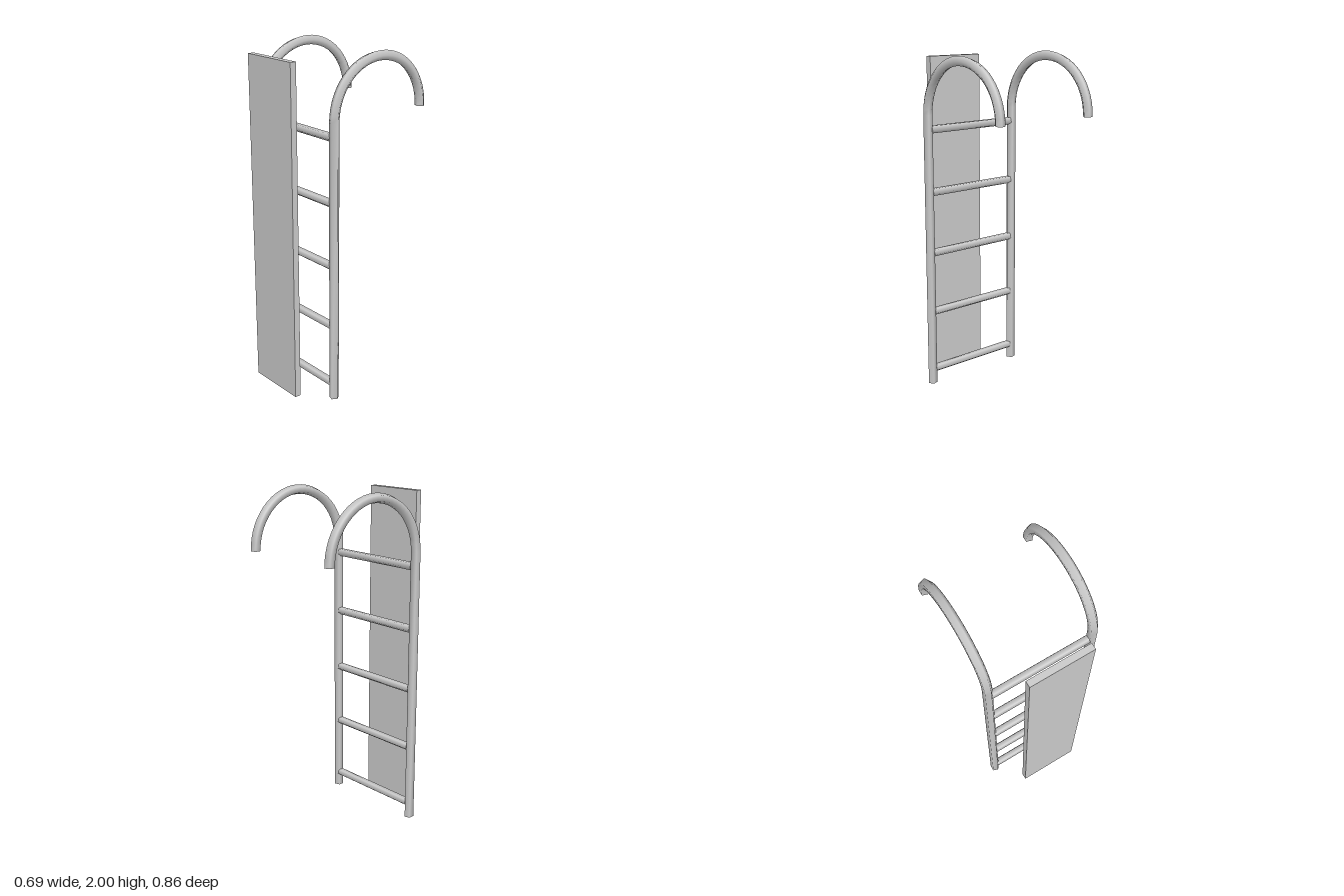
import * as THREE from 'three';

const material = new THREE.MeshStandardMaterial({ color: 0xcccccc });
const SIDES = 5, RAIL_R = 0.0287, RAIL_Z = 0.248, BEND_Y = 1.647;

// Five-sided pipe: a straight pole that bends backwards into a half circle
function railGeometry(bendRadius, steps = 28) {
  const positions = [], index = [];
  const addRing = (y, theta) => {
    for (let j = 0; j < SIDES; j++) {
      const a = (j / SIDES) * Math.PI * 2;
      const d = bendRadius + RAIL_R * Math.sin(a);
      positions.push(RAIL_R * Math.cos(a), y + d * Math.sin(theta), RAIL_Z - bendRadius + d * Math.cos(theta));
    }
  };
  addRing(0, 0);
  for (let i = 0; i <= steps; i++) addRing(BEND_Y, (i / steps) * Math.PI);
  const last = steps + 1;
  for (let i = 0; i < last; i++) {
    for (let j = 0; j < SIDES; j++) {
      const a = i * SIDES + j, b = i * SIDES + (j + 1) % SIDES;
      index.push(a, a + SIDES, b, b, a + SIDES, b + SIDES);
    }
  }
  // End caps with their own corners, so their edges stay sharp
  const first = positions.length / 3;
  addRing(0, 0);
  addRing(BEND_Y, Math.PI);
  for (let j = 1; j < SIDES - 1; j++) {
    index.push(first, first + j, first + j + 1);
    index.push(first + SIDES, first + SIDES + j + 1, first + SIDES + j);
  }
  const geometry = new THREE.BufferGeometry();
  geometry.setAttribute('position', new THREE.Float32BufferAttribute(positions, 3));
  geometry.setIndex(index);
  geometry.computeVertexNormals();
  return geometry;
}

export function createModel() {
  const model = new THREE.Group();
  model.name = 'ladder';
  const add = (name, geometry, x, y, z) => {
    const mesh = new THREE.Mesh(geometry, material);
    mesh.name = name;
    mesh.position.set(x, y, z);
    model.add(mesh);
    return mesh;
  };

  // Hooked side rails, the left one bent slightly tighter
  add('rightRail', railGeometry(0.3255), -0.32, 0, 0);
  add('leftRail', railGeometry(0.318), 0.3135, 0, 0);

  // Rungs between the rails, one corner of each pointing up
  const x0 = -0.303, x1 = 0.295;
  const rungGeometry = new THREE.CylinderGeometry(0.0247, 0.0247, x1 - x0, SIDES);
  rungGeometry.rotateY(-Math.PI / 2).rotateZ(Math.PI / 2);
  for (let i = 0; i < 5; i++) {
    add('rung' + (i + 1), rungGeometry, (x0 + x1) / 2, 0.089 + i * 0.3685, 0.2465);
  }

  // Flat board standing in front of the rungs
  add('frontBoard', new THREE.BoxGeometry(0.369, 1.955, 0.037), -0.0035, 0.9875, 0.4115);
  return model;
}
